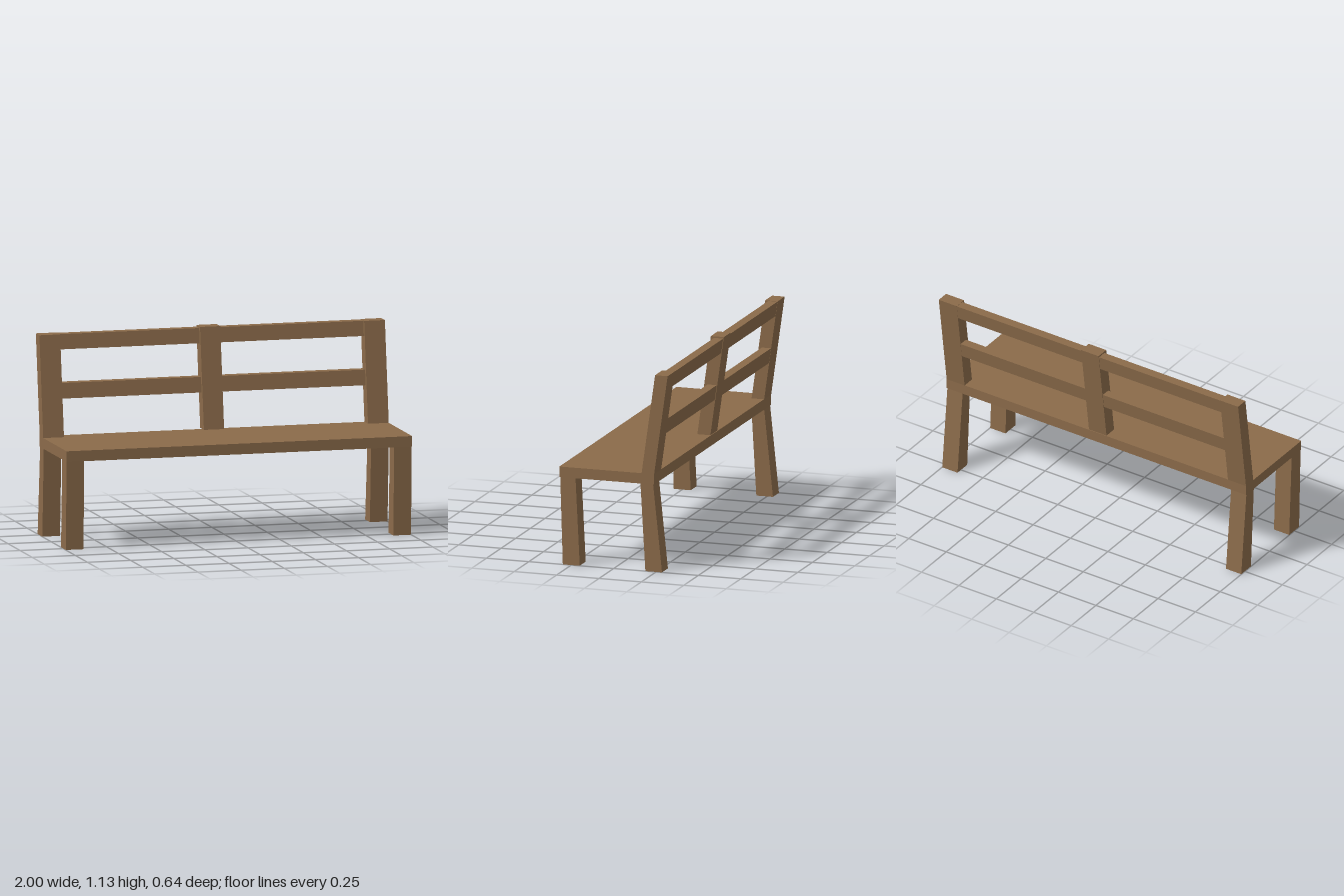
import * as THREE from 'three';

const wood = new THREE.MeshStandardMaterial({ color: 0x8b6b4a, flatShading: true });

// Beam running along x from x0 to x1, with a four-sided side profile:
// bottom and top heights, each with its front and back z
function beam(name, x0, x1, [y0, front0, back0], [y1, front1, back1]) {
  const profile = new THREE.Shape([
    new THREE.Vector2(-front0, y0),
    new THREE.Vector2(-back0, y0),
    new THREE.Vector2(-back1, y1),
    new THREE.Vector2(-front1, y1),
  ]);
  const geometry = new THREE.ExtrudeGeometry(profile, { depth: x1 - x0, bevelEnabled: false });
  geometry.rotateY(Math.PI / 2).translate(x0, 0, 0);
  const mesh = new THREE.Mesh(geometry, wood);
  mesh.name = name;
  return mesh;
}

// Front and back planes of the leaning backrest at height y
const backFront = (y) => -0.165 - 0.14 * (y - 0.56);
const backRear = (y) => -0.239 - 0.14 * (y - 0.56);

// Backrest piece that follows the lean, set back from the front by inset
function backPiece(name, x0, x1, y0, y1, inset = 0, rearInset = 0) {
  const end = (y) => [y, backFront(y) - inset, backRear(y) + rearInset];
  return beam(name, x0, x1, end(y0), end(y1));
}

export function createModel() {
  const bench = new THREE.Group();
  bench.name = 'bench';

  // Seat plank
  bench.add(beam('seat', -1, 1, [0.5, 0.32, -0.238], [0.56, 0.32, -0.238]));

  // Legs and end posts, mirrored left and right
  for (const [side, s] of [['left', 1], ['right', -1]]) {
    const span = (inner, outer) => (s > 0 ? [inner, outer] : [-outer, -inner]);
    bench.add(
      beam(`${side}FrontLeg`, ...span(0.897, 0.999), [0, 0.3, 0.2], [0.5, 0.315, 0.225]),
      beam(`${side}BackLeg`, ...span(0.897, 0.999), [0, -0.187, -0.285], [0.5, -0.158, -0.233]),
      backPiece(`${side}BackPost`, ...span(0.88, 1), 0.56, 1.128),
    );
  }

  // Middle post, slightly off centre and a touch taller
  bench.add(backPiece('middleBackPost', -0.07, 0.047, 0.566, 1.135, -0.001, -0.002));

  // Two back rails, recessed from the front of the posts
  bench.add(
    backPiece('lowerBackRail', -0.88, 0.88, 0.77, 0.856, 0.019, 0.001),
    backPiece('upperBackRail', -0.88, 0.88, 1.042, 1.126, 0.019, 0.001),
  );

  return bench;
}
